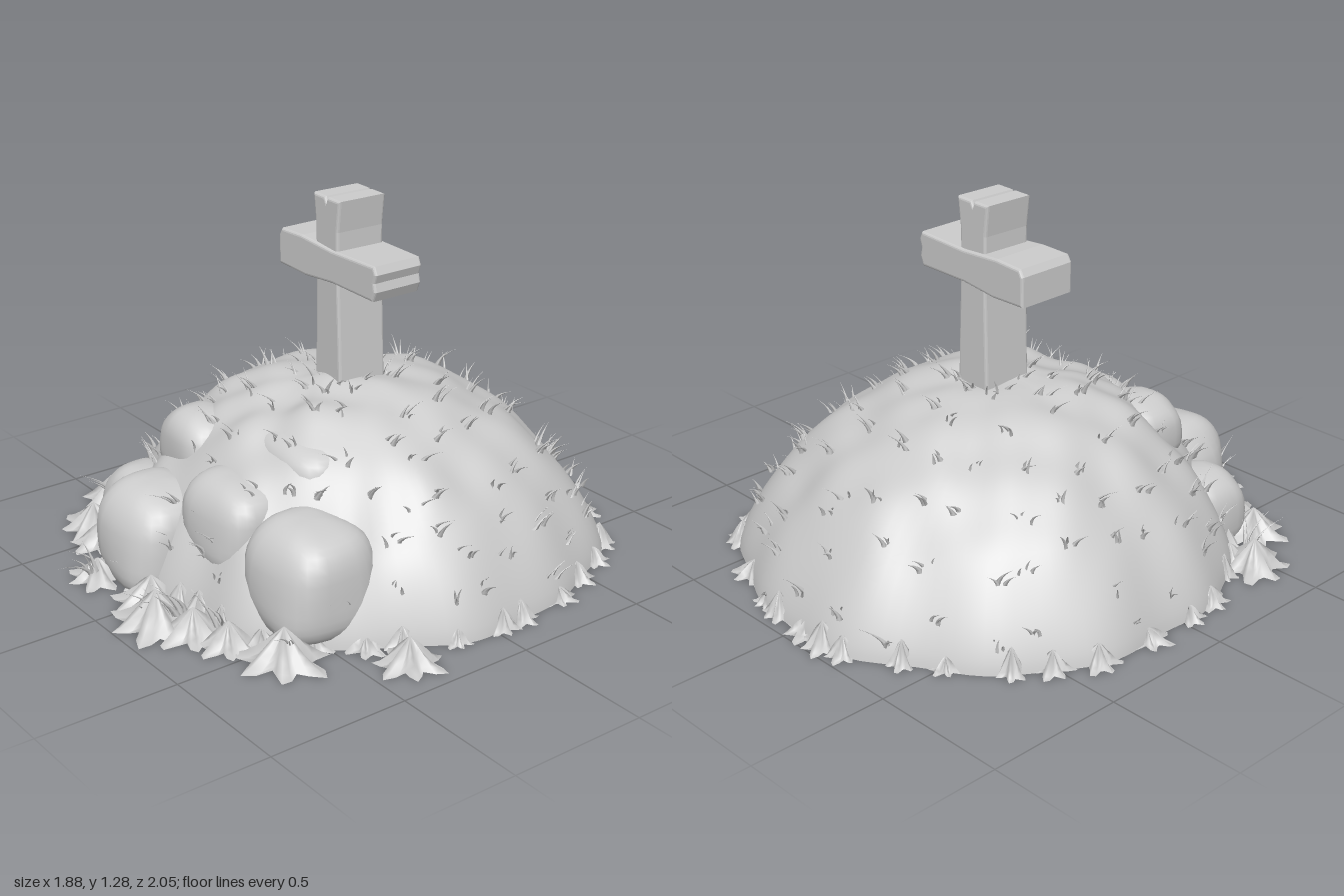
import * as THREE from 'three';
import { mergeGeometries, mergeVertices } from 'three/addons/utils/BufferGeometryUtils.js';

const grey = new THREE.MeshStandardMaterial({ color: 0xcccccc, side: THREE.DoubleSide });
grey.name = 'clay grey';

let seed = 11;
const rand = (lo = 0, hi = 1) => {
  seed = (seed * 16807) % 2147483647;
  return lo + (hi - lo) * (seed / 2147483647);
};

// Angle a runs from +x (0) through +z (90 degrees)
const rim = (a) => 0.855 - 0.095 * Math.sin(a) + 0.012 * Math.sin(7 * a + 1) + 0.01 * Math.sin(13 * a);

// Point on the mound: v = 0 at the summit, 1 at the rim
function moundPoint(a, v) {
  const r = rim(a) * v;
  const x = r * Math.cos(a), z = r * Math.sin(a);
  const lumpy = (0.012 + 0.01 * Math.max(0, Math.sin(a))) * Math.min(1, 5 * (1 - v));
  const lump = Math.sin(11 * x + 2 * Math.sin(6 * z)) * Math.cos(10 * z + 1) + 0.5 * Math.sin(23 * x + 1) * Math.sin(21 * z);
  const y = 0.64 * Math.pow(Math.max(0, 1 - Math.pow(v, 2.3)), 0.77) + lumpy * lump;
  return new THREE.Vector3(x, Math.max(0, y), z);
}

// Move every vertex by a rule
function reshape(geo, rule) {
  const p = geo.attributes.position, v = new THREE.Vector3();
  for (let i = 0; i < p.count; i++) {
    v.fromBufferAttribute(p, i);
    rule(v);
    p.setXYZ(i, v.x, v.y, v.z);
  }
  geo.computeVertexNormals();
  return geo;
}

function weld(geo) {
  geo.deleteAttribute('uv');
  geo.deleteAttribute('normal');
  const g = mergeVertices(geo, 1e-5);
  g.computeVertexNormals();
  return g;
}

function add(parent, name, geo) {
  const mesh = new THREE.Mesh(geo, grey);
  mesh.name = name;
  parent.add(mesh);
  return mesh;
}

// Domed earth from a plane wrapped into rings
function moundGeometry() {
  const geo = reshape(new THREE.PlaneGeometry(1, 1, 120, 44), (p) => {
    const a = -(p.x + 0.5) * Math.PI * 2;
    const t = 0.5 - p.y;
    p.copy(moundPoint(a, 1 - Math.pow(1 - t, 1.4)));
  });
  return weld(geo);
}

// Flat underside with an open wedge
function baseGeometry() {
  const pts = [new THREE.Vector2(0, 0)];
  const start = THREE.MathUtils.degToRad(174), sweep = THREE.MathUtils.degToRad(337);
  for (let i = 0; i <= 90; i++) {
    const a = start + (sweep * i) / 90;
    pts.push(new THREE.Vector2(Math.cos(a), Math.sin(a)).multiplyScalar(rim(a)));
  }
  return new THREE.ShapeGeometry(new THREE.Shape(pts)).rotateX(Math.PI / 2);
}

// Boxy, softened boulder
function boulderGeometry([x, y, z, w, h, d], k) {
  const g = weld(new THREE.SphereGeometry(1, 28, 20));
  const soft = (c) => Math.sign(c) * Math.pow(Math.abs(c), 0.72);
  return reshape(g, (p) => {
    const n = 1 + 0.05 * Math.sin(4 * p.x + k) * Math.cos(3 * p.y + 2 * p.z + k);
    const taper = 1 - 0.12 * p.y;
    p.set(x + soft(p.x) * w * n * taper, Math.max(0.002, y + soft(p.y) * h * n), z + soft(p.z) * d * n * taper);
  });
}

// Single curved, tapering blade leaning along angle a
function blade(pos, a, length, width, lean, curl) {
  const g = new THREE.ConeGeometry(width, length, 4, 5, true).translate(0, length / 2, 0);
  reshape(g, (p) => {
    const t = p.y / length;
    p.z *= 0.5;
    p.x += length * (lean * t + curl * t * t);
    p.y *= 1 - 0.35 * curl * t;
  });
  return g.rotateY(-a).translate(pos.x, pos.y - 0.012, pos.z);
}

// Star-edged leafy clump lying on the ground
function leafClump(x, z, r, h) {
  const phase = rand(0, 6);
  const g = weld(new THREE.ConeGeometry(1, 1, 28, 5, true));
  return reshape(g, (p) => {
    const t = 0.5 - p.y;
    const a = Math.atan2(p.z, p.x);
    const star = 1 + t * (0.3 * Math.cos(7 * a + phase) + 0.12 * Math.sin(3 * a + phase));
    const ripple = 0.016 * Math.sin(7 * a + phase) * t * (1 - t) * 4;
    p.set(x + Math.cos(a) * t * r * star * 0.8, Math.max(0.002, h * Math.pow(1 - t, 1.3) + ripple), z + Math.sin(a) * t * r * star * 0.8);
  });
}

// Timber from a front outline, softened at the edges
function timber(outline, depth) {
  const b = 0.01;
  const shape = new THREE.Shape(outline.map(([x, y]) => new THREE.Vector2(x, y)));
  return new THREE.ExtrudeGeometry(shape, {
    depth: depth - 2 * b, bevelThickness: b, bevelSize: b, bevelOffset: -b, bevelSegments: 3,
  }).translate(0, 0, b - depth / 2);
}

export function createModel() {
  const model = new THREE.Group();
  model.name = 'grave mound';

  add(model, 'earth mound', moundGeometry());
  add(model, 'mound underside', baseGeometry());

  // Boulders bulging from the front: centre x, y, z, half sizes
  const boulders = [
    [-0.19, 0.14, 0.62, 0.2, 0.2, 0.2],
    [-0.46, 0.1, 0.5, 0.15, 0.16, 0.15],
    [0.45, 0.19, 0.45, 0.2, 0.2, 0.19],
    [-0.26, 0.39, 0.38, 0.15, 0.13, 0.14],
    [0.12, 0.28, 0.5, 0.19, 0.16, 0.16],
    [0.15, 0.45, 0.26, 0.22, 0.1, 0.15],
  ];
  const rocks = new THREE.Group();
  rocks.name = 'boulders';
  boulders.forEach((b, i) => add(rocks, 'boulder', boulderGeometry(b, i * 1.7)));
  model.add(rocks);

  // Leafy skirt: large clumps in front, small ones around the foot
  const clumps = [
    [0.14, 0.85, 0.16, 0.13], [0.27, 0.79, 0.13, 0.1], [0.58, 0.65, 0.16, 0.12], [-0.25, 0.84, 0.11, 0.08],
    [-0.6, 0.65, 0.13, 0.1], [-0.76, 0.46, 0.13, 0.11], [0.84, 0.35, 0.12, 0.1], [0.4, 0.74, 0.11, 0.09],
    [-0.47, 0.69, 0.12, 0.09], [0.0, 0.78, 0.14, 0.1], [-0.03, -0.92, 0.09, 0.05], [-0.18, -0.89, 0.08, 0.05],
  ].map((c) => leafClump(...c));
  for (let i = 0; i < 34; i++) {
    const a = (i / 34) * Math.PI * 2 + rand(-0.06, 0.06);
    const r = rim(a) - 0.015;
    clumps.push(leafClump(Math.cos(a) * r, Math.sin(a) * r, rand(0.05, 0.09), rand(0.04, 0.1)));
  }
  add(model, 'leafy skirt', mergeGeometries(clumps));

  // Grass tufts scattered over the slopes, denser towards the rim
  const blades = [];
  const tuft = (pos, a, count, size) => {
    for (let i = 0; i < count; i++) {
      const at = pos.clone().add(new THREE.Vector3(rand(-0.025, 0.025), 0, rand(-0.025, 0.025)));
      blades.push(blade(at, a + rand(-1.1, 1.1), size * rand(0.6, 1.1), rand(0.008, 0.014), rand(0.1, 0.6), rand(0.2, 0.8)));
    }
  };
  for (const [v, count] of [[0.2, 8], [0.36, 13], [0.54, 20], [0.7, 26], [0.83, 30], [0.94, 32]]) {
    for (let i = 0; i < count; i++) {
      const a = ((i + rand(-0.4, 0.4)) / count) * Math.PI * 2;
      tuft(moundPoint(a, v + rand(-0.05, 0.04)), a, 3, 0.075);
    }
  }
  // Taller grass between the front boulders and at the foot of the post
  for (const [x, y, z] of [[0.12, 0.04, 0.85], [0.2, 0.06, 0.8], [-0.25, 0.04, 0.85], [0.35, 0.05, 0.74], [0.6, 0.04, 0.62], [-0.7, 0.05, 0.48]])
    tuft(new THREE.Vector3(x, y, z), Math.PI / 2, 5, 0.13);
  for (let i = 0; i < 7; i++) {
    const a = (i / 7) * Math.PI * 2;
    tuft(new THREE.Vector3(0.015 + 0.1 * Math.cos(a), 0.635, -0.045 + 0.13 * Math.sin(a)), a, 2, 0.07);
  }
  add(model, 'grass blades', mergeGeometries(blades));

  // Wooden cross, its post split at the top
  const cross = new THREE.Group();
  cross.name = 'wooden cross';
  const post = add(cross, 'post', timber([
    [-0.06, 0.5], [0.095, 0.5], [0.085, 0.8], [0.075, 1.05], [0.075, 1.17], [0.088, 1.28],
    [0.018, 1.28], [0.01, 1.262], [0.002, 1.28], [-0.065, 1.28], [-0.052, 1.17], [-0.05, 0.95],
  ], 0.19));
  post.position.z = -0.045;
  post.rotation.y = -0.04;
  const bar = add(cross, 'crossbar', reshape(timber([
    [-0.25, 0.985], [-0.1, 0.978], [0.05, 0.99], [0.27, 0.985], [0.285, 1.02], [0.278, 1.05], [0.288, 1.08],
    [0.275, 1.108], [0.05, 1.105], [-0.12, 1.118], [-0.235, 1.115], [-0.25, 1.09],
  ], 0.23), (p) => {
    p.z *= 1 - 0.28 * (p.x + 0.25);
    p.z += 0.03 * p.x;
  }));
  bar.position.z = -0.046;
  model.add(cross);

  return model;
}
